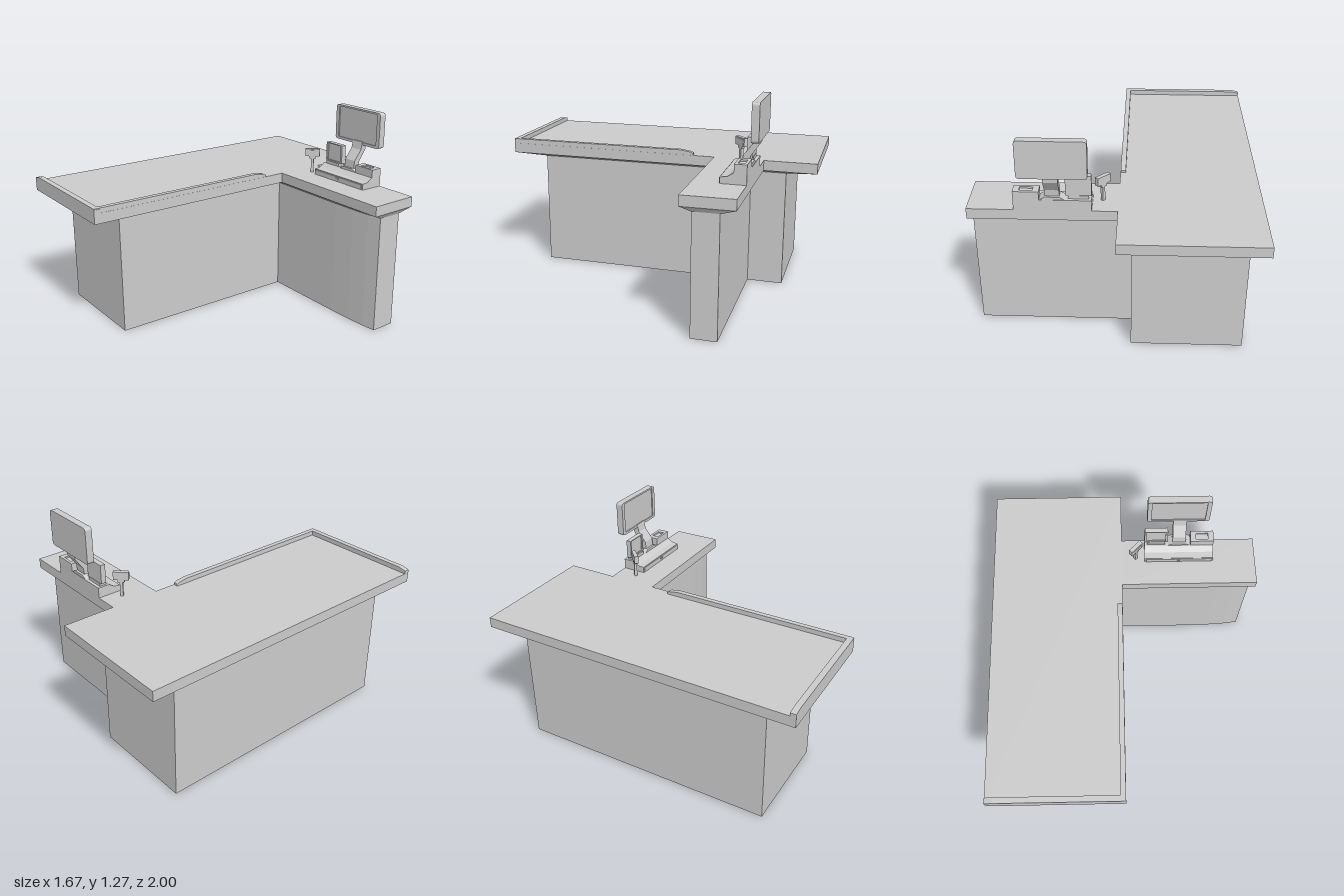
import * as THREE from 'three';

const grey = new THREE.MeshStandardMaterial({ color: 0xcccccc });
grey.name = 'plain grey';

function add(parent, name, geometry, x = 0, y = 0, z = 0) {
  const mesh = new THREE.Mesh(geometry, grey);
  mesh.name = name;
  mesh.position.set(x, y, z);
  parent.add(mesh);
  return mesh;
}

// Box given by its limits on each axis
function block(parent, name, [x0, x1], [y0, y1], [z0, z1]) {
  return add(parent, name, new THREE.BoxGeometry(x1 - x0, y1 - y0, z1 - z0),
    (x0 + x1) / 2, (y0 + y1) / 2, (z0 + z1) / 2);
}

const polygon = (pts) => new THREE.Shape(pts.map(([a, b]) => new THREE.Vector2(a, b)));
const extrude = (shape, depth) => new THREE.ExtrudeGeometry(shape, { depth, bevelEnabled: false, curveSegments: 4 });

// Floor plan of (x, z) points raised from y0 to y1
const plan = (pts, y0, y1) =>
  extrude(polygon(pts.map(([x, z]) => [x, -z])), y1 - y0).rotateX(-Math.PI / 2).translate(0, y0, 0);

// Side profile of (z, y) points swept from x0 to x1
const sweep = (pts, x0, x1) =>
  extrude(polygon(pts.map(([z, y]) => [-z, y])), x1 - x0).rotateY(Math.PI / 2).translate(x0, 0, 0);

// Sloping walls joining two plans with the same number of points
function flare(low, y0, high, y1) {
  const pos = [];
  low.forEach((a, i) => {
    const j = (i + 1) % low.length;
    const b = low[j], c = high[j], d = high[i];
    pos.push(a[0], y0, a[1], b[0], y0, b[1], c[0], y1, c[1]);
    pos.push(a[0], y0, a[1], c[0], y1, c[1], d[0], y1, d[1]);
  });
  const g = new THREE.BufferGeometry();
  g.setAttribute('position', new THREE.Float32BufferAttribute(pos, 3));
  g.computeVertexNormals();
  return g;
}

function roundedRect(x0, x1, y0, y1, r) {
  const s = new THREE.Shape();
  s.moveTo(x0 + r, y0);
  s.absarc(x1 - r, y0 + r, r, -Math.PI / 2, 0);
  s.absarc(x1 - r, y1 - r, r, 0, Math.PI / 2);
  s.absarc(x0 + r, y1 - r, r, Math.PI / 2, Math.PI);
  s.absarc(x0 + r, y0 + r, r, Math.PI, Math.PI * 1.5);
  return s;
}

// Display: solid back, raised bezel and a recessed screen
function display(parent, name, [x0, x1], [y0, y1], [z0, z1], r, border) {
  const g = new THREE.Group();
  g.name = name;
  const recess = 0.007;
  add(g, name + 'Body', extrude(roundedRect(x0, x1, y0, y1, r), z1 - z0 - recess), 0, 0, z0);
  const bezel = roundedRect(x0, x1, y0, y1, r);
  bezel.holes.push(roundedRect(x0 + border, x1 - border, y0 + border * 0.6, y1 - border * 0.4, 0.003));
  add(g, name + 'Bezel', extrude(bezel, recess), 0, 0, z1 - recess);
  parent.add(g);
}

export function createModel() {
  const model = new THREE.Group();
  model.name = 'checkoutCounter';

  // Cabinet and worktop plans, matched point for point
  const cabinet = [[-0.75, 0.805], [-0.1, 0.805], [-0.1, -0.41], [0.45, -0.41], [0.6, -0.413], [0.72, -0.42],
    [0.81, -0.43], [0.81, -0.585], [-0.1, -0.585], [-0.1, -0.805], [-0.75, -0.805]];
  const top = [[-0.835, 1], [-0.02, 1], [-0.02, -0.365], [0.45, -0.365], [0.6, -0.365], [0.72, -0.365],
    [0.832, -0.365], [0.826, -0.675], [-0.02, -0.675], [-0.02, -1], [-0.835, -1]];
  add(model, 'cabinet', plan(cabinet, 0, 0.735));
  add(model, 'worktopFlare', flare(cabinet, 0.733, top, 0.762));
  add(model, 'worktop', plan(top, 0.762, 0.825));

  // Raised rim along the front and inner edges, tapering at its ends
  add(model, 'frontRim', extrude(polygon([[-0.835, 0.825], [-0.02, 0.825], [-0.02, 0.849], [-0.026, 0.855],
    [-0.785, 0.855], [-0.835, 0.845]]), 0.035), 0, 0, 0.965);
  add(model, 'sideRim', sweep([[0.999, 0.825], [0.999, 0.855], [-0.15, 0.855], [-0.215, 0.845],
    [-0.228, 0.838], [-0.228, 0.825]], -0.052, -0.021));

  // Till body with a front shelf and a sloping face
  const till = new THREE.Group();
  till.name = 'till';
  model.add(till);
  add(till, 'tillBody', sweep([[-0.525, 0.825], [-0.525, 0.863], [-0.565, 0.867], [-0.6, 0.89],
    [-0.675, 0.89], [-0.675, 0.825]], 0.125, 0.56));
  block(till, 'drawerFront', [0.135, 0.55], [0.828, 0.858], [-0.53, -0.52]);
  block(till, 'drawerCatch', [0.33, 0.35], [0.84, 0.852], [-0.525, -0.514]);

  // Receipt printer with a paper opening in its lid
  const lid = polygon([[0.415, 0.602], [0.56, 0.602], [0.56, 0.675], [0.415, 0.675]]);
  lid.holes.push(polygon([[0.45, 0.618], [0.525, 0.618], [0.525, 0.658], [0.45, 0.658]]));
  block(till, 'printer', [0.415, 0.56], [0.86, 0.93], [-0.675, -0.602]);
  add(till, 'printerLid', extrude(lid, 0.01).rotateX(-Math.PI / 2), 0, 0.93, 0);

  // Small customer display on its foot
  block(till, 'smallDisplayFoot', [0.14, 0.255], [0.88, 0.91], [-0.655, -0.61]);
  display(till, 'smallDisplay', [0.125, 0.27], [0.908, 1.03], [-0.652, -0.62], 0.004, 0.014);

  // Main monitor on a bent neck
  add(till, 'monitorFoot', extrude(polygon([[0.265, 0.885], [0.42, 0.885], [0.385, 0.907], [0.3, 0.907]]), 0.07), 0, 0, -0.672);
  add(till, 'monitorNeck', sweep([[-0.615, 0.89], [-0.622, 0.955], [-0.672, 1.02], [-0.682, 1.07],
    [-0.715, 1.07], [-0.712, 1.02], [-0.66, 0.945], [-0.655, 0.89]], 0.302, 0.385));
  display(till, 'monitor', [0.14, 0.525], [1.05, 1.275], [-0.727, -0.683], 0.018, 0.027);

  // Barcode scanner on a slim post, turned to one side
  const scanner = new THREE.Group();
  scanner.name = 'scanner';
  scanner.position.set(0.068, 0, -0.55);
  scanner.rotation.y = Math.PI / 4;
  block(scanner, 'scannerPost', [-0.009, 0.009], [0.825, 0.935], [-0.009, 0.009]);
  block(scanner, 'scannerCollar', [-0.02, 0.02], [0.915, 0.935], [-0.01, 0.01]);
  block(scanner, 'scannerHead', [-0.047, 0.047], [0.932, 0.982], [-0.013, 0.013]);
  block(scanner, 'scannerWindow', [-0.036, 0.036], [0.942, 0.974], [0.01, 0.016]);
  model.add(scanner);

  return model;
}
